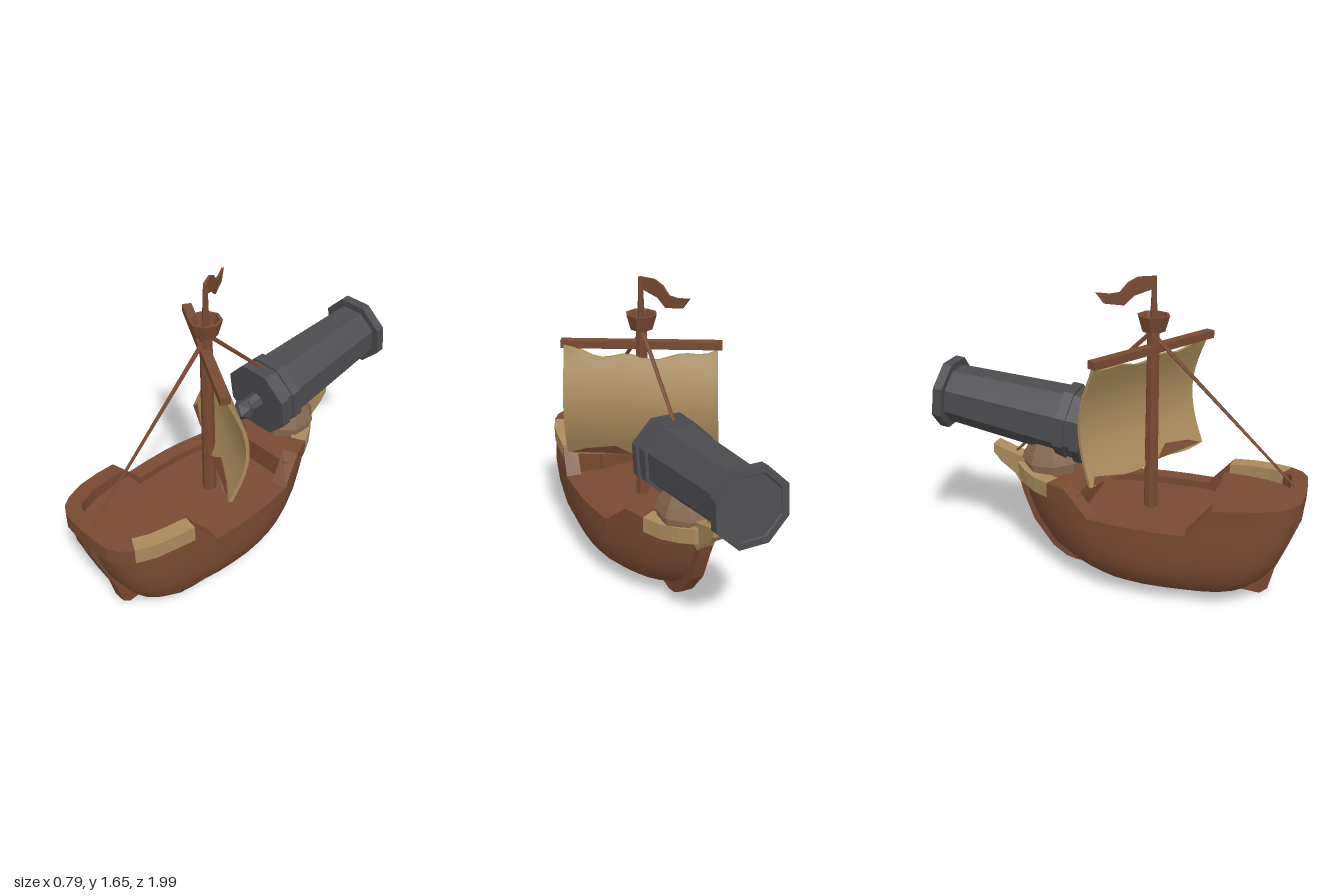
import * as THREE from 'three';

const WOOD = 0x784a32, TAN = 0xa98b5c, IRON = 0x4c4c50, STAND = 0x866850;
const CX = -0.015; // ship centre line

const mat = (color, smooth) => new THREE.MeshStandardMaterial({ color, flatShading: !smooth, side: THREE.DoubleSide });

function add(parent, name, geo, color, pos = [0, 0, 0], smooth = false) {
  const m = new THREE.Mesh(geo, mat(color, smooth));
  m.name = name;
  m.position.set(...pos);
  parent.add(m);
  return m;
}

// Linear look-up in a short table of [key, value]
function table(rows, k) {
  if (k <= rows[0][0]) return rows[0][1];
  for (let i = 1; i < rows.length; i++) {
    const [a, va] = rows[i - 1], [b, vb] = rows[i];
    if (k <= b) return va + (vb - va) * (k - a) / (b - a);
  }
  return rows[rows.length - 1][1];
}

// Hull lines: rail height by z, then stern z, bow z and half width by y
const sheer = z => table([[-0.56, 0.6], [-0.42, 0.575], [-0.2, 0.59], [-0.08, 0.46], [0.46, 0.46], [0.58, 0.605], [0.99, 0.625]], z);
const sternZ = y => table([[0.03, 0.4], [0.05, 0.6], [0.1, 0.74], [0.2, 0.85], [0.3, 0.91], [0.43, 0.955], [0.62, 0.98]], y);
const bowZ = y => table([[0.03, 0], [0.05, -0.1], [0.1, -0.27], [0.2, -0.4], [0.33, -0.48], [0.48, -0.52], [0.62, -0.56]], y);
const halfWidth = y => table([[0.03, 0], [0.035, 0.14], [0.06, 0.22], [0.12, 0.295], [0.2, 0.335], [0.35, 0.35], [0.45, 0.347], [0.63, 0.325]], y);

// Plan outline from stern to bow: [fraction of length, fraction of width]
const PLAN = [[0, 0], [0, 0.25], [0.005, 0.48], [0.025, 0.64], [0.06, 0.76], [0.12, 0.87], [0.19, 0.92], [0.262, 0.95],
  [0.34, 0.98], [0.43, 1], [0.52, 1], [0.6, 0.97], [0.689, 0.91], [0.767, 0.8], [0.84, 0.66], [0.9, 0.5], [0.95, 0.33], [0.985, 0.16], [1, 0]];
const N = 2 * (PLAN.length - 1);

// Point on the hull skin: i runs round the outline, v from keel to rail
function hullPoint(i, v) {
  i = (i + N) % N;
  const side = i < PLAN.length ? 1 : -1;
  const [t, h] = PLAN[side > 0 ? i : N - i];
  let y = 0.03 + 0.57 * v, z;
  for (let k = 0; k < 3; k++) {
    z = sternZ(y) + (bowZ(y) - sternZ(y)) * t;
    y = 0.03 + (sheer(z) - 0.03) * v;
  }
  return [side * h * halfWidth(y), y, z];
}

// Surface through rows of equal point count
function loft(rows, closed) {
  const n = rows[0].length, idx = [];
  for (let r = 0; r + 1 < rows.length; r++) {
    for (let i = 0; i < (closed ? n : n - 1); i++) {
      const a = r * n + i, b = r * n + (i + 1) % n;
      idx.push(a, b, b + n, a, b + n, a + n);
    }
  }
  const g = new THREE.BufferGeometry();
  g.setAttribute('position', new THREE.Float32BufferAttribute(rows.flat(2), 3));
  g.setIndex(idx);
  g.computeVertexNormals();
  return g;
}

// Rail section round the outline from index i0 to i1
function rail(i0, i1) {
  const rows = [];
  for (let i = i0; i <= i1; i++) {
    const p = hullPoint(i, 1), a = hullPoint(i - 1, 1), b = hullPoint(i + 1, 1);
    const n = new THREE.Vector2(a[2] - b[2], b[0] - a[0]).normalize();
    rows.push([[0.012, -0.085], [0.013, 0], [-0.07, 0], [-0.07, -0.09], [0.012, -0.085]].map(([o, dy]) => {
      let x = p[0] + n.x * o;
      if (x * p[0] < 0) x = 0;
      return [x, p[1] + dy, p[2] + n.y * o];
    }));
  }
  return loft(rows, false);
}

// Flat deck between two z values
function deck(z0, z1, y) {
  const rows = [];
  for (let k = 0; k <= 8; k++) {
    const z = z0 + (z1 - z0) * k / 8;
    const w = halfWidth(y) * table(PLAN, (sternZ(y) - z) / (sternZ(y) - bowZ(y))) - 0.012;
    rows.push([[-w, y, z], [w, y, z]]);
  }
  return loft(rows, false);
}

// Side profile in (z, y) with a thickness across x
function slab(points, width) {
  const shape = new THREE.Shape(points.map(p => new THREE.Vector2(...p)));
  return new THREE.ExtrudeGeometry(shape, { depth: width, bevelEnabled: false }).rotateY(-Math.PI / 2).translate(width / 2, 0, 0);
}

// Tapered bar between two points
function bar(a, b, r0, r1, sides) {
  const A = new THREE.Vector3(...a), d = new THREE.Vector3(...b).sub(A);
  const g = new THREE.CylinderGeometry(r1, r0, d.length(), sides).translate(0, d.length() / 2, 0);
  g.applyQuaternion(new THREE.Quaternion().setFromUnitVectors(new THREE.Vector3(0, 1, 0), d.normalize()));
  return g.translate(A.x, A.y, A.z);
}

// Belly of the sail, with a slightly wider foot; y is world height
function billow(g) {
  const p = g.attributes.position;
  for (let i = 0; i < p.count; i++) {
    const v = THREE.MathUtils.clamp((p.getY(i) - 0.66) / 0.6, 0, 1);
    p.setX(i, p.getX(i) * (1.035 - 0.035 * v) - 0.01 * (1 - v));
    p.setZ(i, p.getZ(i) - 0.01 - 0.1 * Math.sin(Math.PI * Math.min(1, v * 0.94 + 0.04)));
  }
  g.computeVertexNormals();
  return g;
}

export function createModel() {
  const model = new THREE.Group();
  model.name = 'cannonShip';
  const ship = new THREE.Group();
  ship.name = 'ship';
  ship.position.x = CX;
  model.add(ship);

  // Hull skin and rails
  const rows = [0, 0.01, 0.06, 0.14, 0.28, 0.45, 0.65, 0.85, 1].map(v => Array.from({ length: N }, (_, i) => hullPoint(i, v)));
  add(ship, 'hull', loft(rows, true), WOOD, [0, 0, 0], true);
  [[0, 4, WOOD], [4, 7, TAN], [7, 14, WOOD], [14, 22, TAN], [22, 36, WOOD]].forEach(([a, b, c]) => add(ship, 'rail', rail(a, b), c));

  // Decks, bulkheads and cabin door
  add(ship, 'mainDeck', deck(0.55, -0.14, 0.42), WOOD);
  add(ship, 'sternDeck', deck(0.95, 0.54, 0.55), WOOD);
  add(ship, 'bowDeck', deck(-0.13, -0.53, 0.545), WOOD);
  add(ship, 'sternBulkhead', new THREE.BoxGeometry(0.6, 0.14, 0.02), WOOD, [0, 0.48, 0.55]);
  add(ship, 'bowBulkhead', new THREE.BoxGeometry(0.5, 0.13, 0.02), WOOD, [0, 0.48, -0.14]);
  add(ship, 'door', new THREE.BoxGeometry(0.1, 0.1, 0.02), WOOD, [0.06, 0.47, 0.535]);

  // Stern post with rudder, stem and beak
  add(ship, 'sternPost', slab([[0.995, 0.62], [0.985, 0.47], [0.93, 0.32], [0.87, 0.17], [0.84, 0.04], [0.8, 0.005],
    [0.6, 0.02], [0.53, 0.06], [0.7, 0.14], [0.82, 0.25], [0.92, 0.5], [0.92, 0.62]], 0.065), WOOD);
  add(ship, 'stem', slab([[-0.08, 0.045], [-0.22, 0.03], [-0.28, 0.045], [-0.36, 0.1], [-0.47, 0.25], [-0.525, 0.4], [-0.55, 0.49],
    [-0.46, 0.5], [-0.4, 0.28], [-0.25, 0.14]], 0.07), WOOD);
  add(ship, 'beak', slab([[-0.54, 0.47], [-0.57, 0.52], [-0.65, 0.58], [-0.69, 0.63], [-0.69, 0.68], [-0.58, 0.64],
    [-0.5, 0.615], [-0.45, 0.57], [-0.45, 0.49]], 0.085), TAN);

  // Mast, crow's nest and flag
  add(ship, 'mast', bar([0, 0.4, 0.19], [0, 1.4, 0.19], 0.037, 0.031, 8), WOOD);
  const nest = [[0, 1.37], [0.06, 1.38], [0.083, 1.46], [0.068, 1.46], [0.055, 1.41], [0, 1.41]].map(p => new THREE.Vector2(...p));
  add(ship, 'crowsNest', new THREE.LatheGeometry(nest, 8), WOOD, [0, 0, 0.19]);
  add(ship, 'flagPole', bar([0, 1.4, 0.19], [0.005, 1.65, 0.19], 0.02, 0.011, 6), WOOD);
  const flag = slab([[0, 1.65], [-0.08, 1.65], [-0.13, 1.625], [-0.17, 1.58], [-0.22, 1.575], [-0.29, 1.585], [-0.25, 1.53],
    [-0.15, 1.515], [-0.1, 1.56], [0, 1.59]], 0.012);
  add(ship, 'flag', flag, WOOD, [0, 0, 0.19]).rotation.y = 0.53;

  // Yard and sail, swung round the mast
  const rig = new THREE.Group();
  rig.name = 'rig';
  rig.position.set(0, 0, 0.2);
  rig.rotation.y = -0.516;
  ship.add(rig);
  add(rig, 'yard', new THREE.BoxGeometry(0.84, 0.04, 0.05), WOOD, [-0.003, 1.29, 0]).rotation.z = -0.01;
  const cloth = new THREE.BoxGeometry(0.8, 0.6, 0.018, 16, 12, 1).translate(0, 0.96, 0);
  const p = cloth.attributes.position;
  for (let i = 0; i < p.count; i++) {
    const x = p.getX(i), y = p.getY(i), v = (y - 0.66) / 0.6;
    // Ragged head and foot
    p.setY(i, y + v * (-0.03 + 0.05 * Math.pow(Math.abs(x) / 0.4, 3) + 0.012 * Math.sin(x * 22)) + (1 - v) * 0.008 * Math.sin(x * 17));
  }
  add(rig, 'sail', billow(cloth), TAN, [0, 0, 0], true);
  [[[0.06, 0.668], [0.38, 0.668], [0.3, 0.7], [0.14, 0.725]], [[-0.38, 0.665], [-0.2, 0.665], [-0.36, 0.7]]].forEach(pts => {
    const g = new THREE.ExtrudeGeometry(new THREE.Shape(pts.map(q => new THREE.Vector2(...q))), { depth: 0.026, bevelEnabled: false });
    add(rig, 'sailPatch', billow(g.translate(0, 0, -0.013)), WOOD);
  });

  // Stays fore and aft
  add(ship, 'sternStay', bar([0, 1.37, 0.18], [0, 0.63, 0.94], 0.012, 0.006, 5), WOOD);
  add(ship, 'bowStay', bar([0, 1.37, 0.18], [0, 0.64, -0.57], 0.012, 0.008, 5), WOOD);

  // Cannon stand
  const stand = (name, rTop, rBottom, h, y) => add(model, name, new THREE.CylinderGeometry(rTop, rBottom, h, 8).rotateY(Math.PI / 8), STAND, [0, y, -0.37]);
  stand('standBase', 0.155, 0.15, 0.06, 0.6);
  stand('standCollar', 0.145, 0.165, 0.05, 0.65);
  stand('standTop', 0.1, 0.145, 0.09, 0.715);

  // Cannon: eight-sided barrel with bands, muzzle lip and knob
  const cannon = new THREE.Group();
  cannon.name = 'cannon';
  cannon.position.set(0, 0.83, -0.145);
  cannon.rotation.x = 0.13 - Math.PI / 2;
  model.add(cannon);
  const barrel = [[0, 0], [0.192, 0], [0.192, 0.05], [0.176, 0.05], [0.176, 0.09], [0.188, 0.09], [0.188, 0.145], [0.172, 0.145],
    [0.145, 0.785], [0.182, 0.785], [0.182, 0.835], [0.15, 0.835], [0.145, 0.827], [0, 0.827]];
  const k = 1 / Math.cos(Math.PI / 8);
  add(cannon, 'barrel', new THREE.LatheGeometry(barrel.map(([r, s]) => new THREE.Vector2(r * k, s)), 8, Math.PI / 8), IRON);
  add(cannon, 'knobNeck', new THREE.CylinderGeometry(0.05, 0.04, 0.08, 8), IRON, [0, -0.035, 0]);
  add(cannon, 'knob', new THREE.IcosahedronGeometry(0.06, 0), IRON, [0, -0.095, 0]);
  return model;
}
